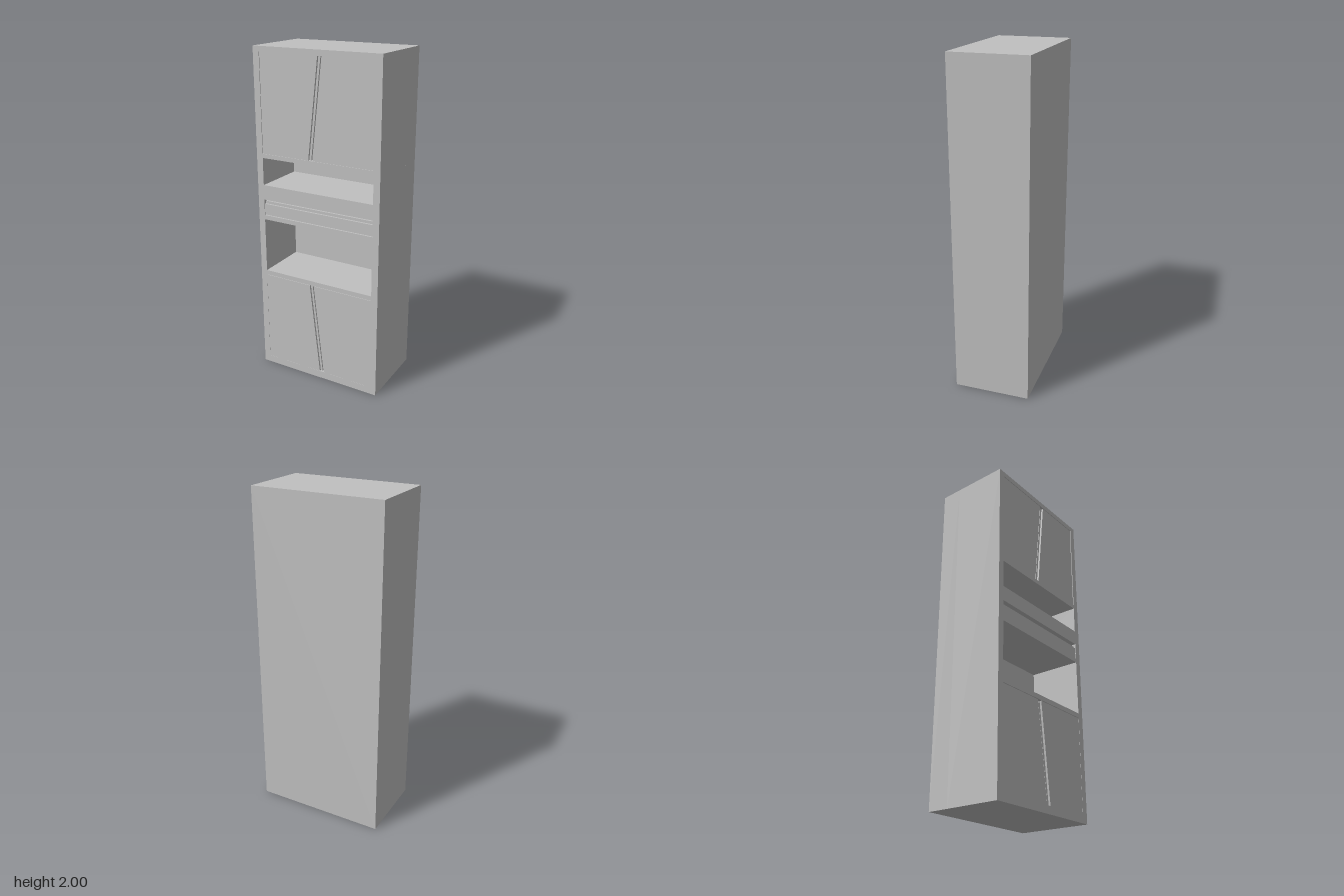
import * as THREE from 'three';

const W = 0.4, D = 0.228, SIDE = 0.36, BACK = -0.1;

// Closed path from corner points
function outline(points, Type = THREE.Shape) {
  return new Type(points.map(([x, y]) => new THREE.Vector2(x, y)));
}

const rect = (x0, y0, x1, y1) => [[x0, y0], [x1, y0], [x1, y1], [x0, y1]];

function slab(name, shape, z0, z1, material) {
  const geometry = new THREE.ExtrudeGeometry(shape, { depth: z1 - z0, bevelEnabled: false });
  geometry.translate(0, 0, z0);
  const mesh = new THREE.Mesh(geometry, material);
  mesh.name = name;
  return mesh;
}

export function createModel() {
  const group = new THREE.Group();
  group.name = 'cabinet';
  const grey = new THREE.MeshStandardMaterial({ color: 0xc0c0c0 });
  grey.name = 'grey';

  // Carcass: solid back and a front frame with five bays
  group.add(slab('backPanel', outline(rect(-W, 0, W, 2)), -D, BACK, grey));
  const frame = outline(rect(-W, 0, W, 2));
  const bays = [[0.045, 0.622], [0.65, 0.985], [1.012, 1.11], [1.2, 1.365], [1.39, 1.968]];
  for (const [y0, y1] of bays) {
    frame.holes.push(outline(rect(-SIDE, y0, SIDE, y1), THREE.Path));
  }
  group.add(slab('carcass', frame, BACK, D, grey));

  // Pairs of doors meeting at a slanted finger groove with a narrow gap
  function doorPair(name, y0, y1, xBottom, xTop, front) {
    const pair = new THREE.Group();
    pair.name = name;
    for (const s of [-1, 1]) {
      const leaf = (gap) => outline([
        [s * SIDE, y0], [xBottom + s * gap, y0], [xTop + s * gap, y1], [s * SIDE, y1],
      ]);
      const side = s < 0 ? 'right' : 'left';
      pair.add(slab(side + 'DoorCore', leaf(0.003), front - 0.03, front - 0.012, grey));
      pair.add(slab(side + 'DoorFace', leaf(0.016), front - 0.012, front, grey));
    }
    group.add(pair);
  }
  doorPair('upperDoors', 1.39, 1.968, -0.035, 0.03, D - 0.004);
  doorPair('lowerDoors', 0.045, 0.619, 0.03, -0.035, D - 0.001);

  // Drawer with a stepped finger groove along its top
  group.add(slab('drawerCore', outline(rect(-SIDE, 1.015, SIDE, 1.098)), D - 0.03, D - 0.016, grey));
  group.add(slab('drawerFace', outline(rect(-SIDE, 1.015, SIDE, 1.082)), D - 0.016, D - 0.004, grey));

  return group;
}
